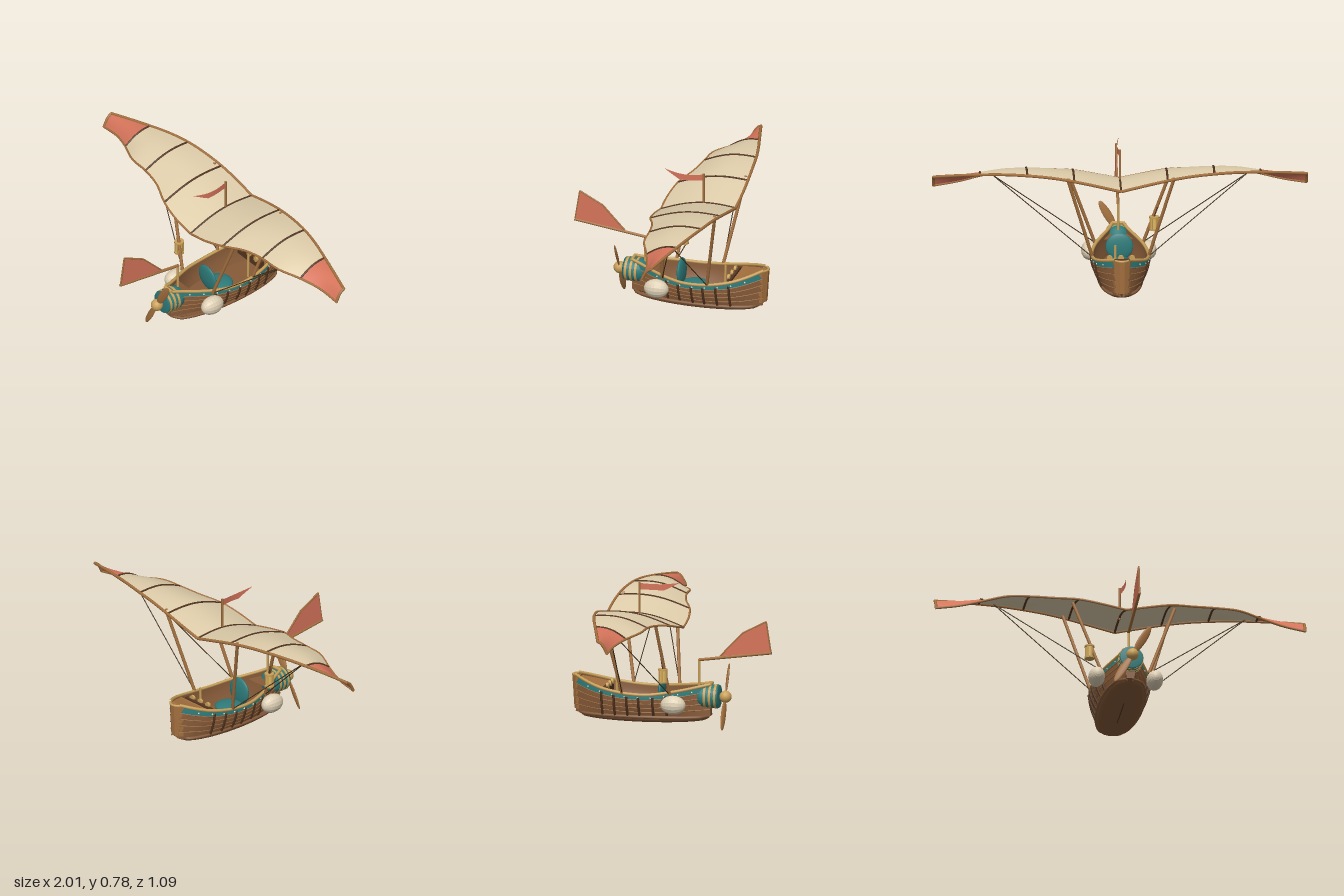
import * as THREE from 'three';

const mat = (name, color, extra = {}) => new THREE.MeshStandardMaterial({ name, color, ...extra });
const DS = { side: THREE.DoubleSide };
const M = {
  plank: mat('plankBrown', 0x865a38, DS),
  wood: mat('lightWood', 0xa5713f, DS),
  dark: mat('darkWood', 0x553622, DS),
  gold: mat('paleGold', 0xc9a058),
  teal: mat('teal', 0x2d7b7a, DS),
  cloth: mat('creamCloth', 0xdfceab, DS),
  red: mat('coralCloth', 0xd6745b, DS),
  ivory: mat('ivory', 0xddcfb4, { flatShading: true }),
  wire: mat('rope', 0x46331f),
  glow: mat('lampGlass', 0xe0b860),
};
const V = (x, y, z) => new THREE.Vector3(x, y, z);

export function createModel() {
  const root = new THREE.Group();
  root.name = 'flyingBoat';
  const add = (name, geo, m, x = 0, y = 0, z = 0) => {
    const o = new THREE.Mesh(geo, m);
    o.name = name;
    o.position.set(x, y, z);
    root.add(o);
    return o;
  };
  // surface through a rule f(a, b), a and b running 0..1
  const surface = (name, f, na, nb, m) => {
    const pos = [], idx = [];
    for (let i = 0; i <= na; i++) for (let j = 0; j <= nb; j++) {
      const p = f(i / na, j / nb);
      pos.push(p.x, p.y, p.z);
      if (i < na && j < nb) {
        const a = i * (nb + 1) + j, c = a + nb + 1;
        idx.push(a, c, a + 1, c, c + 1, a + 1);
      }
    }
    const g = new THREE.BufferGeometry();
    g.setAttribute('position', new THREE.Float32BufferAttribute(pos, 3));
    g.setIndex(idx);
    g.computeVertexNormals();
    return add(name, g, m);
  };
  const path = (name, f, n, r, m) => {
    const pts = Array.from({ length: n + 1 }, (_, i) => f(i / n));
    return add(name, new THREE.TubeGeometry(new THREE.CatmullRomCurve3(pts), n * 2, r, 6), m);
  };
  const rod = (name, a, b, r, m, sides = 8) => {
    const o = add(name, new THREE.CylinderGeometry(r, r, a.distanceTo(b), sides), m);
    o.position.copy(a).lerp(b, 0.5);
    o.quaternion.setFromUnitVectors(V(0, 1, 0), b.clone().sub(a).normalize());
    return o;
  };
  const prism = (pts, depth) => new THREE.ExtrudeGeometry(
    new THREE.Shape(pts.map(p => new THREE.Vector2(...p))), { depth, bevelEnabled: false });
  const both = fn => [1, -1].forEach(fn);

  // ---- hull: gunwale curve plus a section rule ----
  const gunwale = new THREE.CatmullRomCurve3([
    [0.03, 0.235, 0.212], [0.052, 0.222, 0.15], [0.09, 0.208, 0.07], [0.126, 0.196, -0.02],
    [0.147, 0.187, -0.12], [0.15, 0.193, -0.24], [0.131, 0.213, -0.36],
    [0.09, 0.238, -0.45], [0.035, 0.262, -0.522]].map(p => V(...p)), false, 'catmullrom');
  const hull = (u, t, s, off = 0) => {
    const g = gunwale.getPoint(u);
    return V(s * (g.x * (0.72 + 0.28 * Math.sin(t * Math.PI / 2)) + off), 0.065 + (g.y - 0.065) * t, g.z);
  };
  const uAt = z => {
    let a = 0, b = 1;
    for (let i = 0; i < 30; i++) {
      const m = (a + b) / 2;
      if (gunwale.getPoint(m).z > z) a = m; else b = m;
    }
    return a;
  };
  const strakes = [[0, 0.21], [0.21, 0.41], [0.41, 0.61], [0.61, 0.79], [0.79, 1]];
  both(s => {
    strakes.forEach(([t0, t1], i) => {
      surface('hullStrake', (a, b) => hull(a, t0 + (t1 - t0) * b, s, 0.005 * (1 - b)), 40, 3, i < 4 ? M.plank : M.teal);
      if (i) path('strakeBatten', a => hull(a, t0, s, 0.004), 24, 0.003, M.wood);
    });
    surface('innerLining', (a, b) => hull(a, 0.2 + 0.8 * b, s, -0.005), 40, 4, M.plank);
    path('gunwale', a => hull(a, 1.02, s), 24, 0.009, M.gold);
    [-0.01, -0.08, -0.155, -0.22, -0.29, -0.36].forEach(z =>
      path('hullRib', a => hull(uAt(z), 0.9 * a, s, 0.006), 6, 0.007, M.dark));
    for (let z = 0.12; z > -0.5; z -= 0.07) {
      const p = hull(uAt(z), 0.88, s, 0.003);
      add('rivet', new THREE.SphereGeometry(0.005, 8, 6), M.ivory, p.x, p.y, p.z);
    }
  });
  // floor, end decks and transom
  const across = (name, z0, z1, t, m) => surface(name, (a, b) => {
    const u = uAt(z0 + (z1 - z0) * a), p = hull(u, t, 1);
    return V(p.x * (2 * b - 1), p.y, p.z);
  }, 16, 2, m);
  across('floor', 0.205, -0.515, 0.2, M.plank);
  across('sternDeck', 0.205, 0.08, 0.85, M.plank);
  across('bowDeck', -0.37, -0.52, 0.96, M.wood);
  surface('transom', (a, b) => { const p = hull(0, a, 1); return V(p.x * (2 * b - 1), p.y, p.z); }, 6, 2, M.plank);
  rod('sternRail', hull(0, 1.02, 1), hull(0, 1.02, -1), 0.009, M.gold);
  add('bowBeam', new THREE.BoxGeometry(0.25, 0.02, 0.015), M.wood, 0, 0.2, -0.372);

  // rounded stem block, narrowing toward its foot
  const stem = prism([[-0.052, 0.502], [0.052, 0.502], [0.042, 0.522], [0.014, 0.544], [-0.014, 0.544], [-0.042, 0.522]], 0.177);
  stem.rotateX(-Math.PI / 2).translate(0, 0.08, 0);
  const sp = stem.attributes.position;
  for (let i = 0; i < sp.count; i++) if (sp.getY(i) < 0.1) {
    sp.setX(i, sp.getX(i) * 0.85);
    sp.setZ(i, -0.5 + (sp.getZ(i) + 0.5) * 0.75);
  }
  stem.computeVertexNormals();
  add('stem', stem, M.wood);
  const bowRim = [[-0.035, -0.522], [-0.018, -0.537], [0, -0.542], [0.018, -0.537], [0.035, -0.522]];
  path('bowRim', a => V(bowRim[Math.round(a * 4)][0], 0.262, bowRim[Math.round(a * 4)][1]), 4, 0.007, M.gold);

  // rounded bottom shell with a chine ledge
  const chineW = a => 0.018 + 0.1 * Math.pow(Math.max(0, 1 - (2 * a - 1) ** 2), 0.45);
  surface('bottomShell', (a, b) => {
    const e = Math.sqrt(Math.max(0, 1 - (2 * a - 1) ** 2)), th = Math.PI * b;
    return V(chineW(a) * Math.cos(th), 0.065 - (0.014 + 0.028 * e) * Math.pow(Math.sin(th), 0.7), 0.2 - 0.7 * a);
  }, 28, 14, M.plank);
  both(s => path('chine', a => V(s * chineW(a), 0.064, 0.2 - 0.7 * a), 24, 0.009, M.plank));
  path('keel', a => V(0, 0.049 - 0.024 * Math.sin(Math.PI * a), 0.18 - 0.66 * a), 16, 0.005, M.dark);

  // ---- side floats ----
  both(s => {
    const f = add('sideFloat', new THREE.SphereGeometry(1, 16, 12).rotateX(Math.PI / 2), M.ivory, s * 0.157, 0.143, 0.037);
    f.scale.set(0.045, 0.052, 0.068);
  });

  // ---- cockpit ----
  const cushion = (name, sx, sy, sz, y, z, tilt) => {
    const o = add(name, new THREE.SphereGeometry(1, 24, 14), M.teal, 0, y, z);
    o.scale.set(sx, sy, sz);
    o.rotation.x = tilt;
  };
  cushion('seatCushion', 0.078, 0.022, 0.078, 0.125, -0.13, 0);
  cushion('seatBack', 0.074, 0.074, 0.017, 0.192, -0.057, 0.05);
  rod('controlStick', V(0.03, 0.1, -0.308), V(0.03, 0.28, -0.312), 0.007, M.gold);
  add('instrumentPanel', new THREE.BoxGeometry(0.2, 0.05, 0.02), M.dark, 0, 0.19, -0.35);
  [-0.06, 0, 0.06].forEach(x => {
    const g = add('dial', new THREE.CylinderGeometry(0.016, 0.016, 0.014, 14), M.gold, x, 0.218, -0.34);
    g.rotation.x = Math.PI / 2;
  });

  // ---- engine and propeller ----
  const prof = [[0, 0.125], [0.035, 0.13], [0.055, 0.145], [0.064, 0.17], [0.064, 0.25], [0.06, 0.259], [0, 0.26]];
  const lathe = new THREE.LatheGeometry(prof.map(p => new THREE.Vector2(...p)), 24).rotateX(Math.PI / 2);
  add('engineCowl', lathe, M.teal, 0, 0.17, 0);
  [0.185, 0.213, 0.241].forEach(z => {
    const g = new THREE.CylinderGeometry(0.066, 0.066, 0.013, 24).rotateX(Math.PI / 2);
    add('cowlRing', g, M.gold, 0, 0.17, z);
  });
  add('propShaft', new THREE.CylinderGeometry(0.012, 0.012, 0.05, 10).rotateX(Math.PI / 2), M.dark, 0, 0.17, 0.27);
  add('spinner', new THREE.SphereGeometry(0.033, 18, 12), M.gold, 0, 0.17, 0.29);
  const prop = new THREE.Group();
  prop.name = 'propeller';
  both(s => {
    const g = new THREE.SphereGeometry(1, 14, 12).scale(0.023, 0.088, 0.007).rotateY(s * 0.35);
    const b = new THREE.Mesh(g, M.wood);
    b.name = 'propBlade';
    b.position.y = s * 0.105;
    prop.add(b);
  });
  prop.position.set(0, 0.17, 0.29);
  prop.rotation.z = -0.53;
  root.add(prop);

  // ---- tail boom and rudder ----
  rod('tailPost', V(0, 0.2, 0.147), V(0, 0.37, 0.147), 0.007, M.gold);
  rod('tailBoom', V(0, 0.365, 0.143), V(0, 0.418, 0.542), 0.008, M.wood);
  const fin = [[0.538, 0.418], [0.512, 0.586], [0.385, 0.52], [0.26, 0.388]];
  add('rudder', prism(fin, 0.008).rotateY(-Math.PI / 2).translate(0.004, 0, 0), M.red);
  fin.forEach((p, i) => {
    const q = fin[(i + 1) % 4];
    rod('rudderFrame', V(0, p[1], p[0]), V(0, q[1], q[0]), 0.005, M.wood, 6);
  });

  // ---- wing: leading and trailing curves, stations every 1/8 span ----
  const edge = (ys, zs) => new THREE.CatmullRomCurve3(ys.map((y, i) => V(i / 8, y, zs[i])), false, 'catmullrom');
  const lead = edge([0.597, 0.627, 0.653, 0.671, 0.679, 0.678, 0.668, 0.654, 0.637],
    [-0.358, -0.357, -0.35, -0.337, -0.32, -0.293, -0.26, -0.226, -0.192]);
  const trail = edge([0.538, 0.563, 0.592, 0.614, 0.624, 0.621, 0.608, 0.59, 0.572],
    [0.06, 0.06, 0.04, -0.008, -0.03, -0.04, -0.092, -0.132, -0.142]);
  const wing = (u, v, s) => {
    const p = trail.getPoint(u).lerp(lead.getPoint(u), v);
    p.y += 0.034 * (1 - 0.6 * u) * Math.sin(Math.PI * v);
    p.x *= s;
    return p;
  };
  both(s => {
    surface('wingCloth', (a, b) => wing(a * 0.75, b, s), 36, 14, M.cloth);
    surface('wingTip', (a, b) => wing(0.75 + a * 0.25, b, s), 12, 14, M.red);
    path('leadingSpar', a => wing(a, 1, s), 20, 0.008, M.wood);
    path('trailingSpar', a => wing(a, 0, s), 24, 0.006, M.wood);
    [0.25, 0.5, 0.75].forEach(u => path('wingRib', b => wing(u, b, s), 10, 0.006, M.dark));
    path('tipRib', b => wing(0.997, b, s), 8, 0.008, M.wood);

    // struts and rigging
    const baseA = V(s * 0.13, 0.195, 0.012), baseB = V(s * 0.15, 0.195, -0.243);
    rod('rearStrut', baseA, V(s * 0.275, 0.605, -0.035), 0.009, M.wood);
    rod('frontStrut', baseB, V(s * 0.285, 0.662, -0.33), 0.009, M.wood);
    [baseA, baseB].forEach(b => rod('rigging', b, V(s * 0.68, 0.645, -0.2), 0.0028, M.wire, 5));
  });
  path('centreRib', b => wing(0, b, 1), 10, 0.006, M.dark);

  // ---- mast and waving pennant ----
  rod('mast', V(0, 0.59, -0.18), V(0, 0.775, -0.18), 0.006, M.wood);
  surface('pennant', (a, b) => {
    const top = 0.77 - 0.01 * Math.sin(Math.PI * a) + 0.009 * a;
    const low = 0.735 - 0.008 * a + 0.052 * Math.max(0, a - 0.59) / 0.41;
    return V(0.014 * Math.sin(Math.PI * a), low + (top - low) * b, -0.18 + 0.22 * a);
  }, 17, 2, M.red);

  // ---- hanging lantern ----
  const lx = -0.188, lz = -0.012;
  add('lanternGlass', new THREE.CylinderGeometry(0.02, 0.02, 0.06, 12), M.glow, lx, 0.308, lz);
  [0.274, 0.341].forEach(y => add('lanternCap', new THREE.CylinderGeometry(0.027, 0.027, 0.009, 12), M.gold, lx, y, lz));
  for (let i = 0; i < 6; i++) {
    const a = i * Math.PI / 3, x = lx + 0.022 * Math.cos(a), z = lz + 0.022 * Math.sin(a);
    rod('lanternBar', V(x, 0.272, z), V(x, 0.342, z), 0.003, M.gold, 6);
  }
  rod('lanternHook', V(lx, 0.342, lz), V(lx - 0.015, 0.4, lz - 0.005), 0.004, M.dark, 6);
  return root;
}
